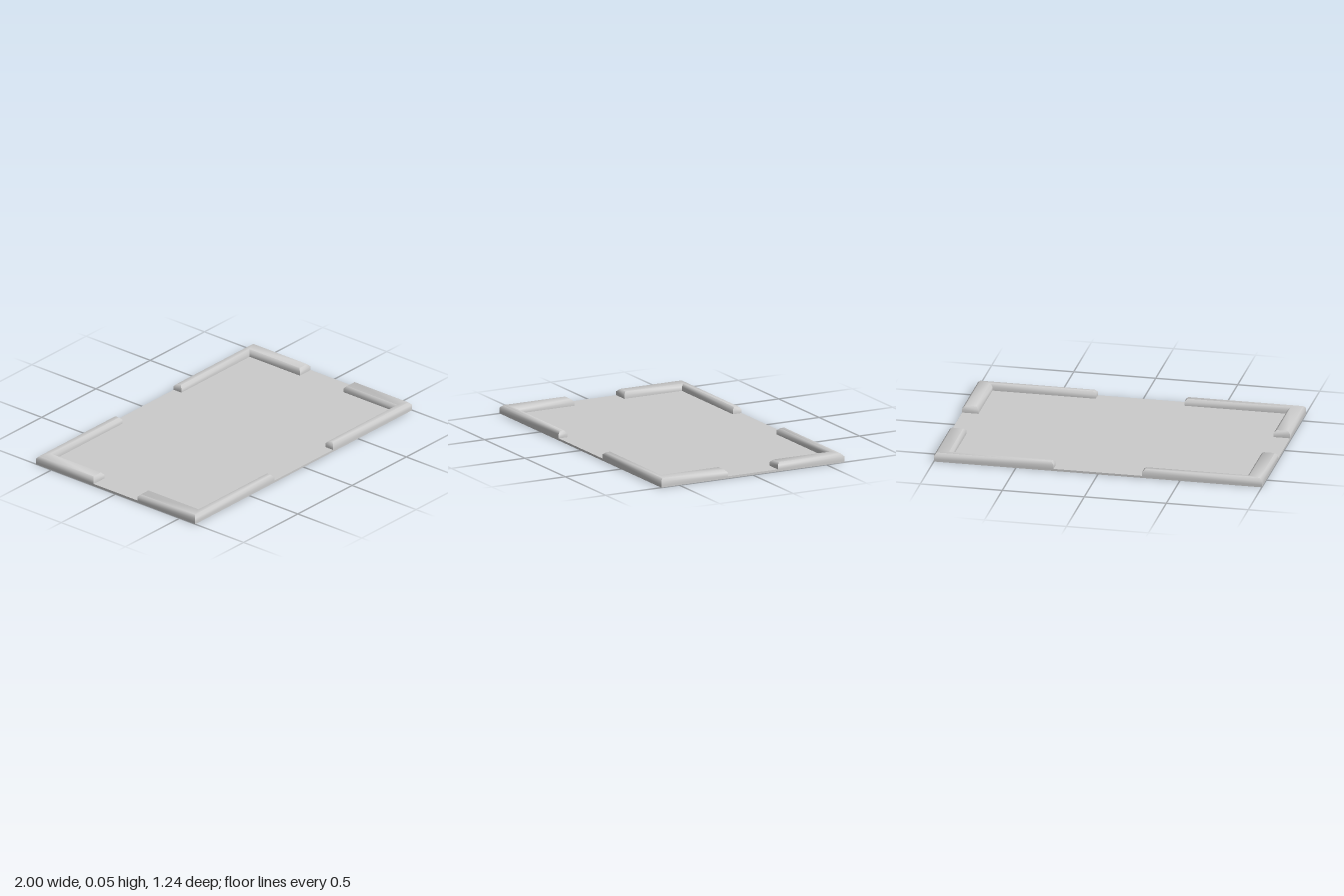
import * as THREE from 'three';
import { toCreasedNormals } from 'three/addons/utils/BufferGeometryUtils.js';

const HALF_X = 1, HALF_Z = 0.622, SLAB = 0.013, TOP = 0.053, BEVEL = 0.016;

// L-shaped outline of one corner: x, z, and the direction each corner moves when inset
const OUTLINE = [
  [HALF_X, HALF_Z, -1, -1],
  [0.27, HALF_Z, 1, -1],
  [0.27, 0.562, 1, 1],
  [0.9, 0.562, 1, 1],
  [0.9, 0.17, 1, 1],
  [HALF_X, 0.17, -1, 1],
];

// Raised L-shaped rim with a bevelled top edge, mirrored by the signs sx and sz
function cornerRim(sx, sz) {
  const rings = [[0, SLAB], [0, TOP - BEVEL], [BEVEL, TOP]].map(([inset, y]) =>
    OUTLINE.map(([x, z, dx, dz]) => [sx * (x + dx * inset), y, sz * (z + dz * inset)]));
  const positions = [];
  const triangle = (a, b, c) => positions.push(...a, ...(sx * sz > 0 ? [...b, ...c] : [...c, ...b]));
  const n = OUTLINE.length;

  // Sides and bevel
  for (let r = 0; r < rings.length - 1; r++) {
    for (let i = 0; i < n; i++) {
      const j = (i + 1) % n, low = rings[r], high = rings[r + 1];
      triangle(low[i], high[i], high[j]);
      triangle(low[i], high[j], low[j]);
    }
  }

  // Flat top, fanned from the inner corner
  const cap = rings[rings.length - 1];
  for (let k = 1; k < n - 1; k++) triangle(cap[3], cap[(3 + k + 1) % n], cap[(3 + k) % n]);

  const geometry = new THREE.BufferGeometry();
  geometry.setAttribute('position', new THREE.Float32BufferAttribute(positions, 3));
  return toCreasedNormals(geometry, THREE.MathUtils.degToRad(50));
}

export function createModel() {
  const group = new THREE.Group();
  group.name = 'tray';
  const material = new THREE.MeshStandardMaterial({ color: 0xcccccc });

  // Thin floor slab
  const floor = new THREE.Mesh(new THREE.BoxGeometry(2 * HALF_X, SLAB, 2 * HALF_Z), material);
  floor.name = 'floor';
  floor.position.y = SLAB / 2;
  group.add(floor);

  // Four corner rims
  for (const sx of [1, -1]) {
    for (const sz of [1, -1]) {
      const rim = new THREE.Mesh(cornerRim(sx, sz), material);
      rim.name = `${sz > 0 ? 'front' : 'back'}${sx > 0 ? 'Left' : 'Right'}Rim`;
      group.add(rim);
    }
  }
  return group;
}
